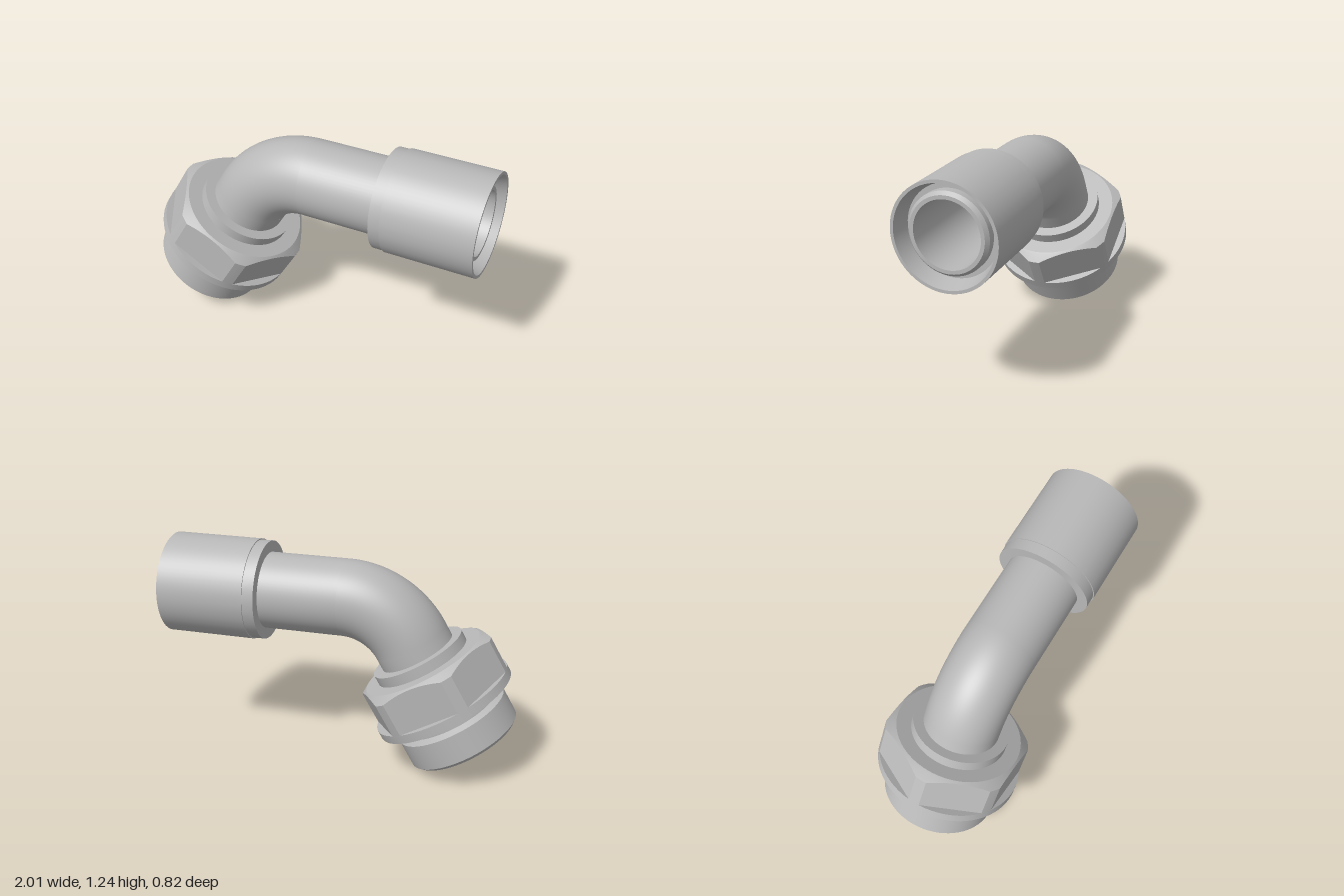
import * as THREE from 'three';
import { toCreasedNormals } from 'three/addons/utils/BufferGeometryUtils.js';

const PIPE_R = 0.217, BORE_R = 0.18, BEND_R = 0.435, BEND_X = -0.02, AXIS_Y = 0.95;
const NECK = 0.667; // where the bend meets the nut end, measured along the tilted axis

const steel = new THREE.MeshStandardMaterial({ color: 0xb8b8b8, side: THREE.DoubleSide });
steel.name = 'steel grey';

function add(parent, name, geometry) {
  const mesh = new THREE.Mesh(geometry, steel);
  mesh.name = name;
  parent.add(mesh);
  return mesh;
}

// Turned part from [radius, height] pairs, sharp at its corners
function turned(profile) {
  const points = profile.map(([r, y]) => new THREE.Vector2(r, y));
  return toCreasedNormals(new THREE.LatheGeometry(points, 72), 0.35);
}

// Hexagon with its corners trimmed to a cylinder and its top edge chamfered by a cone
function hexNut(flat, corner, bottom, shoulder, top, topR) {
  const rings = [];
  const trim = THREE.MathUtils.radToDeg(Math.acos(flat / corner));
  const offsets = [-30, -trim, -20, -15, -10, -5, 0, 5, 10, 15, 20, trim];
  for (let side = 0; side < 6; side++) {
    for (const offset of offsets) {
      const a = THREE.MathUtils.degToRad(side * 60 + offset);
      const r = Math.min(corner, flat / Math.cos(THREE.MathUtils.degToRad(offset)));
      const edge = shoulder + (top - 0.006 - shoulder) * (corner - r) / (corner - topR);
      const column = [[r, bottom], [r, edge], [topR, top - 0.006], [topR - 0.01, top], [PIPE_R, top]];
      rings.push(column.map(([q, y]) => [q * Math.sin(a), y, q * Math.cos(a)]));
    }
  }
  const positions = [];
  rings.forEach((ring, i) => {
    const next = rings[(i + 1) % rings.length];
    for (let j = 0; j < ring.length - 1; j++) {
      positions.push(...ring[j], ...next[j], ...next[j + 1], ...ring[j], ...next[j + 1], ...ring[j + 1]);
    }
  });
  const geometry = new THREE.BufferGeometry();
  geometry.setAttribute('position', new THREE.Float32BufferAttribute(positions, 3));
  return toCreasedNormals(geometry, 0.4);
}

export function createModel() {
  const model = new THREE.Group();
  model.name = 'pipeElbow';

  // Horizontal pipe end with its sleeve, turned about the x axis
  const outlet = new THREE.Group();
  outlet.name = 'outlet';
  outlet.position.y = AXIS_Y;
  outlet.rotation.z = -Math.PI / 2;
  model.add(outlet);
  add(outlet, 'straightPipe', turned([
    [PIPE_R, BEND_X], [PIPE_R, 0.945], [0.2, 0.965], [BORE_R, 0.965], [BORE_R, BEND_X],
  ]));
  add(outlet, 'sleeve', turned([
    [PIPE_R, 0.43], [0.281, 0.43], [0.281, 0.495], [0.287, 0.495], [0.287, 1],
    [0.27, 1], [0.245, 0.9], [PIPE_R, 0.9],
  ]));

  // Sixty degree bend, outer skin and bore
  for (const [name, r] of [['bend', PIPE_R], ['bendBore', BORE_R]]) {
    const bend = add(model, name, new THREE.TorusGeometry(BEND_R, r, 72, 40, Math.PI / 3));
    bend.position.set(BEND_X, AXIS_Y - BEND_R, 0);
    bend.rotation.z = Math.PI / 2;
  }

  // Tilted screw end, turned about its own axis
  const inlet = new THREE.Group();
  inlet.name = 'inlet';
  inlet.position.set(-0.73, 0.155, 0);
  inlet.rotation.z = -Math.PI / 6;
  model.add(inlet);
  add(inlet, 'screwEndAndFlange', turned([
    [BORE_R, NECK], [BORE_R, 0.38], [0.265, 0], [0.31, 0], [0.33, 0.02], [0.33, 0.175],
    [0.295, 0.195], [0.295, 0.225], [0.303, 0.242], [0.32, 0.249],
    [0.41, 0.249], [0.41, 0.3], [0.34, 0.3],
  ]));
  add(inlet, 'hexNut', hexNut(0.37, 0.41, 0.3, 0.495, 0.53, 0.367));
  add(inlet, 'collar', turned([
    [0.275, 0.525], [0.275, 0.59], [PIPE_R, 0.59], [PIPE_R, NECK],
  ]));

  return model;
}
